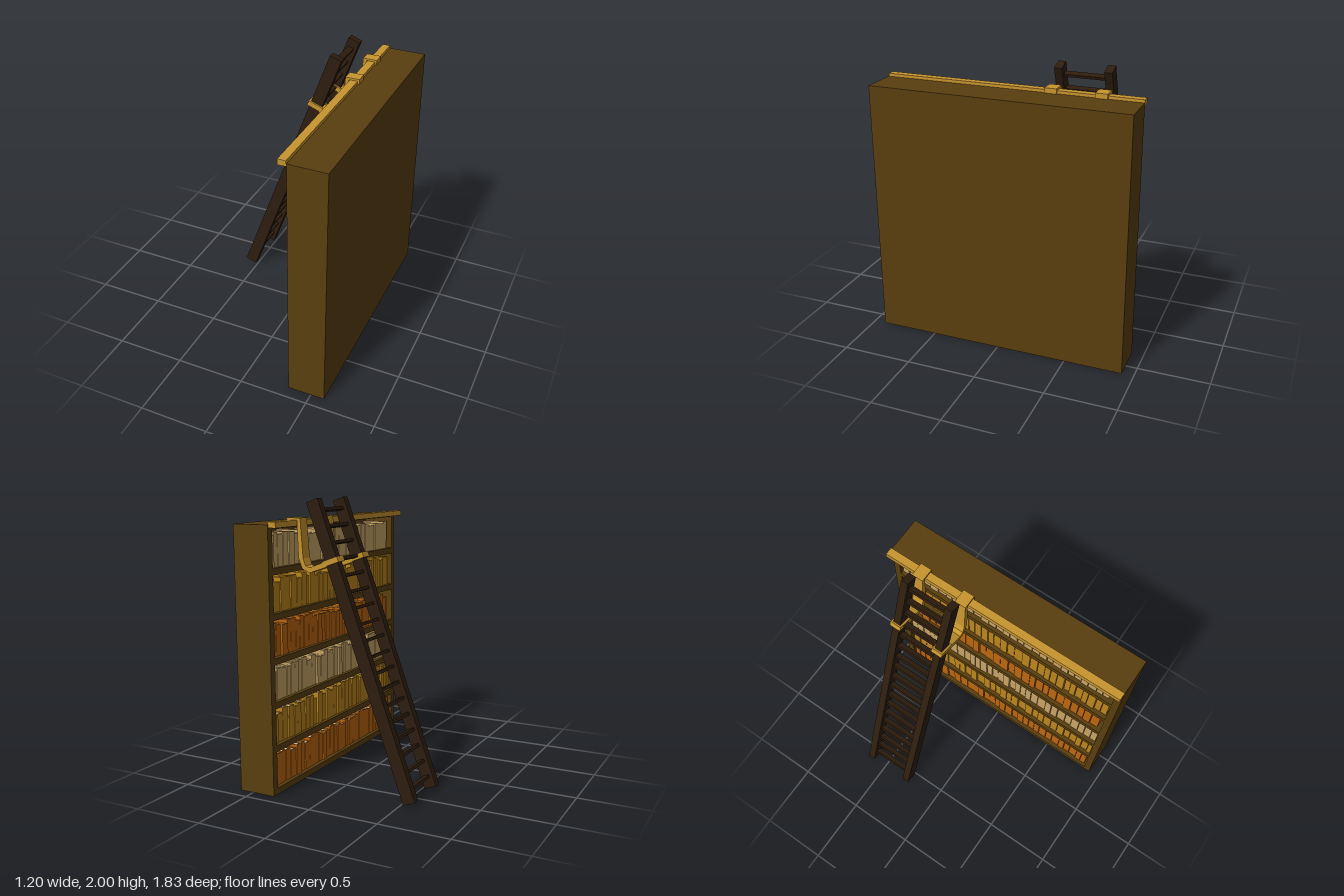
import * as THREE from 'three';
import { mergeGeometries } from 'three/addons/utils/BufferGeometryUtils.js';

const mat = (color) => new THREE.MeshStandardMaterial({ color });
const wood = mat(0x5a3f0f);
const darkWood = mat(0x2e1d0e);
const brass = mat(0xc8952f);
const paper = mat(0xe6dcb4);
const bookColors = [mat(0xbd6610), mat(0xbd861c), mat(0xc9a566)];

// Small seeded generator for book sizes
let seed = 7;
const rand = (a, b) => {
  seed = (seed * 16807) % 2147483647;
  return a + (b - a) * (seed / 2147483647);
};

// Box geometry given by its minimum and maximum corners
function boxGeo(x0, x1, y0, y1, z0, z1) {
  return new THREE.BoxGeometry(x1 - x0, y1 - y0, z1 - z0)
    .translate((x0 + x1) / 2, (y0 + y1) / 2, (z0 + z1) / 2);
}

function add(parent, name, geometry, material) {
  const mesh = new THREE.Mesh(geometry, material);
  mesh.name = name;
  parent.add(mesh);
  return mesh;
}

const H = 1.83, HALF = 0.915, FRONT = 0.33, BACK = 0.6;
const WALL = 0.05, ROWS = 6, PITCH = 0.3, BOARD = 0.045;

// Case open towards -x, with evenly spaced shelves
function createBookcase() {
  const g = new THREE.Group();
  g.name = 'bookcase';
  add(g, 'backPanel', boxGeo(BACK - 0.03, BACK, 0, H, -HALF, HALF), wood);
  for (const s of [-1, 1]) {
    const z = s * (HALF - WALL / 2);
    add(g, 'sidePanel', boxGeo(FRONT, BACK - 0.03, 0, H, z - WALL / 2, z + WALL / 2), wood);
  }
  for (let i = 0; i <= ROWS; i++) {
    const y = i * PITCH;
    const top = i === ROWS ? H : y + BOARD;
    add(g, i === 0 ? 'base' : i === ROWS ? 'topPanel' : 'shelf',
      boxGeo(FRONT, BACK - 0.03, y, top, -HALF + WALL, HALF - WALL), wood);
  }
  return g;
}

// One row of books: spine, two covers and a page block each
function createBookRow(row) {
  const g = new THREE.Group();
  g.name = 'bookRow';
  const covers = [], pages = [];
  const y = row * PITCH + BOARD, end = HALF - WALL - 0.005;
  let z = -end;
  while (z < end - 0.03) {
    const w = Math.min(rand(0.045, 0.07), end - z);
    const h = rand(0.195, 0.235);
    const x = FRONT + rand(0.02, 0.035), back = BACK - 0.05, t = 0.005;
    const z1 = z + w - 0.004;
    covers.push(
      boxGeo(x, x + t, y, y + h, z, z1),
      boxGeo(x + t, back, y, y + h, z, z + t),
      boxGeo(x + t, back, y, y + h, z1 - t, z1));
    pages.push(boxGeo(x + t, back - 0.008, y + 0.004, y + h - 0.008, z + t, z1 - t));
    z += w;
  }
  add(g, 'bookCovers', mergeGeometries(covers), bookColors[row % 3]);
  add(g, 'bookPages', mergeGeometries(pages), paper);
  return g;
}

// Ladder frame: local y runs along the ladder, leaning towards the case
const LEAN = THREE.MathUtils.degToRad(20);
const LADDER_LEN = 2.09, LADDER_Z = -0.46, STILE_Z = 0.1725;

function createLadder() {
  const g = new THREE.Group();
  g.name = 'ladder';
  for (const s of [-1, 1]) {
    const z = s * STILE_Z;
    add(g, 'ladderStile', boxGeo(-0.045, 0.045, 0, LADDER_LEN, z - 0.0275, z + 0.0275), darkWood);

    // Clamp wrapped around the stile
    for (const side of [-1, 1]) {
      const c = z + side * 0.035;
      add(g, 'clampSide', boxGeo(-0.058, 0.06, 1.652, 1.69, c - 0.0075, c + 0.0075), brass);
    }
    add(g, 'clampFront', boxGeo(-0.06, -0.045, 1.652, 1.69, z - 0.0425, z + 0.0425), brass);
  }
  const count = 18;
  for (let i = 0; i < count; i++) {
    const rung = add(g, 'rung', new THREE.BoxGeometry(0.042, 0.021, 2 * STILE_Z - 0.05), darkWood);
    rung.position.y = 0.08 + (1.94 * i) / (count - 1);
  }
  g.rotation.z = -LEAN;
  g.position.set(-0.56, 0.0165, LADDER_Z);
  return g;
}

// Bent strap that hooks over the rail and reaches down to the clamp
function createHook(z) {
  const outline = [
    [0.34, 1.865], [0.237, 1.865], [0.218, 1.6], [0.2, 1.552], [0.17, 1.541],
    [0.05, 1.585], [0.038, 1.551], [0.17, 1.505], [0.225, 1.53], [0.253, 1.6],
    [0.262, 1.85], [0.326, 1.85], [0.326, 1.83], [0.34, 1.83],
  ].map(([x, y]) => new THREE.Vector2(x, y));
  const geo = new THREE.ExtrudeGeometry(new THREE.Shape(outline), { depth: 0.085, bevelEnabled: false });
  const hook = new THREE.Mesh(geo, brass);
  hook.name = 'ladderHook';
  hook.position.z = z - 0.0425;
  return hook;
}

export function createModel() {
  const model = new THREE.Group();
  model.name = 'bookcaseWithLadder';
  model.add(createBookcase());
  for (let r = 0; r < ROWS; r++) model.add(createBookRow(r));
  add(model, 'ladderRail', boxGeo(0.27, 0.327, 1.81, 1.85, -HALF, HALF), brass);
  model.add(createLadder());
  for (const s of [-1, 1]) model.add(createHook(LADDER_Z + s * STILE_Z));
  return model;
}
